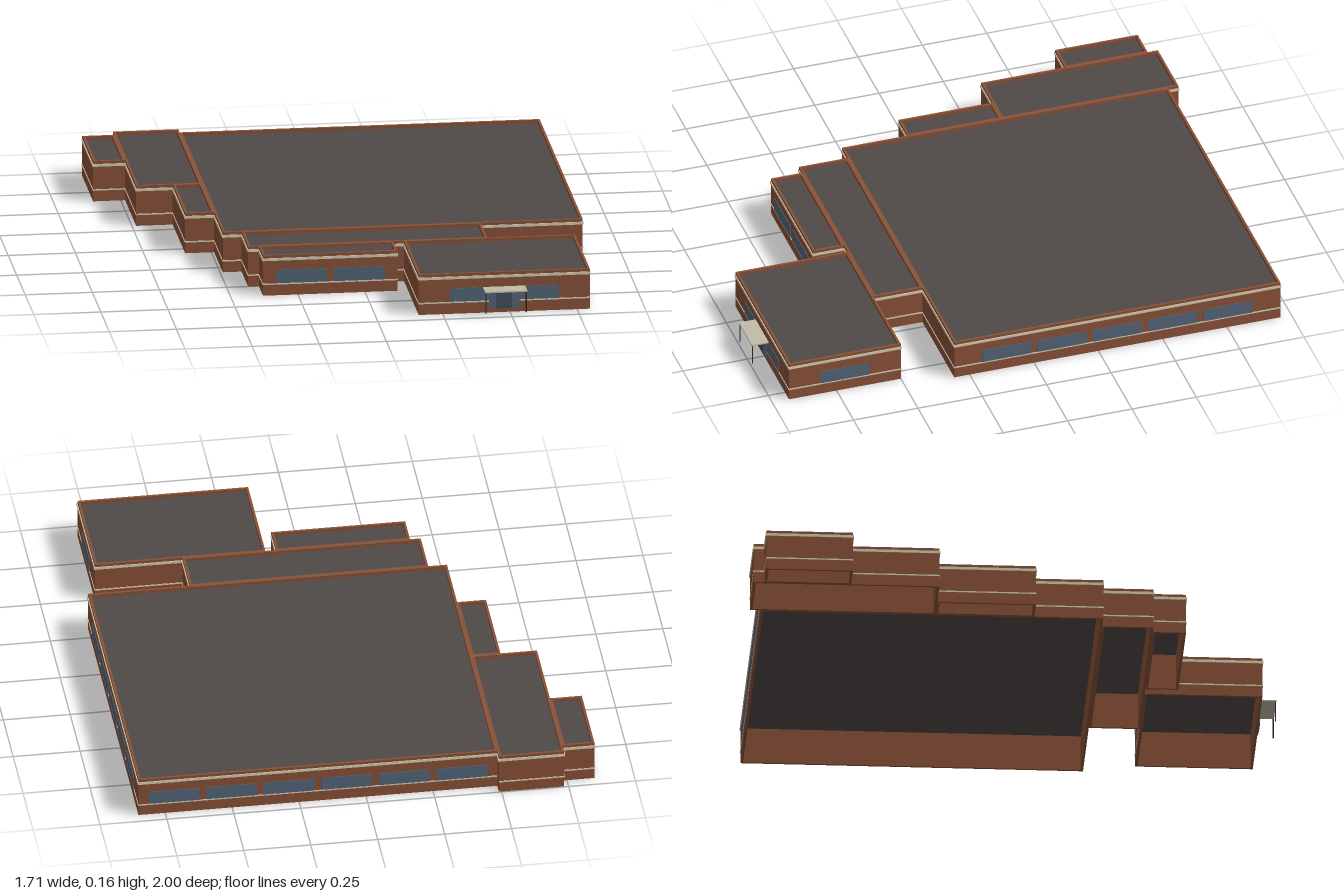
import * as THREE from 'three';

const mat = (name, color, side = THREE.FrontSide) => {
  const m = new THREE.MeshStandardMaterial({ color, side });
  m.name = name;
  return m;
};

export function createModel() {
  const model = new THREE.Group();
  model.name = 'building';
  const brick = mat('brick', 0x8b5238);
  const roofing = mat('roofing', 0x4f4a48);
  const cream = mat('cream trim', 0xd9cfb4);
  const glass = mat('window glass', 0x53667a);
  const doorGlass = mat('door glass', 0x434f5a);
  const canopyPaint = mat('canopy', 0xc2bca9);
  const metal = mat('dark metal', 0x2b2826);

  const HEIGHT = 0.155, THICK = 0.009, ROOF = 0.142;
  const WINDOW = 0.19, PITCH = 0.215;

  function box(parent, name, size, pos, material) {
    const mesh = new THREE.Mesh(new THREE.BoxGeometry(...size), material);
    mesh.name = name;
    mesh.position.set(...pos);
    parent.add(mesh);
    return mesh;
  }

  // Hollow rectangular band, open above and below
  function ring(parent, name, w, d, thick, y0, y1, material) {
    const rect = (P, a, b) => {
      const p = new P();
      p.moveTo(-a, -b); p.lineTo(a, -b); p.lineTo(a, b); p.lineTo(-a, b); p.closePath();
      return p;
    };
    const shape = rect(THREE.Shape, w / 2, d / 2);
    shape.holes.push(rect(THREE.Path, w / 2 - thick, d / 2 - thick));
    const geo = new THREE.ExtrudeGeometry(shape, { depth: y1 - y0, bevelEnabled: false });
    geo.rotateX(-Math.PI / 2).translate(0, y0, 0);
    const mesh = new THREE.Mesh(geo, material);
    mesh.name = name;
    parent.add(mesh);
  }

  // One wall side: turned so that its local +z points outwards
  function facade(parent, side, w, d) {
    const angle = { front: 0, right: Math.PI / 2, back: Math.PI, left: -Math.PI / 2 }[side];
    const along = side === 'front' || side === 'back';
    const g = new THREE.Group();
    g.name = side + 'Facade';
    g.rotation.y = angle;
    parent.add(g);
    return { g, length: along ? w : d, out: (along ? d : w) / 2 };
  }

  function addWing({ name, x: [x0, x1], z: [z0, z1], stripes, windows = [] }) {
    const w = x1 - x0, d = z1 - z0;
    const wing = new THREE.Group();
    wing.name = name;
    wing.position.set((x0 + x1) / 2, 0, (z0 + z1) / 2);
    model.add(wing);

    ring(wing, 'walls', w, d, THICK, 0, HEIGHT, brick);
    ring(wing, 'cornice', w + 0.006, d + 0.006, 0.006, 0.134, 0.144, cream);
    box(wing, 'roof', [w - THICK, 0.004, d - THICK], [0, ROOF - 0.002, 0], roofing);

    for (const side of stripes) {
      const { g, length, out } = facade(wing, side, w, d);
      box(g, 'sillStripe', [length, 0.005, 0.003], [0, 0.044, out + 0.0005], cream);
      if (!windows.includes(side)) continue;
      const n = Math.floor(length / 0.22);
      for (let i = 0; i < n; i++) {
        box(g, 'window', [WINDOW, 0.051, 0.003],
          [(i - (n - 1) / 2) * PITCH, 0.0725, out + 0.001], glass);
      }
    }
  }

  [
    { name: 'mainHall', x: [-0.49, 0.85], z: [-0.957, 0.31],
      stripes: ['front', 'right', 'back', 'left'], windows: ['right', 'back'] },
    { name: 'sideWing', x: [-0.734, -0.49], z: [-0.997, -0.31], stripes: ['front', 'back', 'left'] },
    { name: 'sideAnnex', x: [-0.853, -0.734], z: [-0.957, -0.636], stripes: ['front', 'back', 'left'] },
    { name: 'sidePorch', x: [-0.598, -0.49], z: [-0.31, 0.055], stripes: ['front', 'left'] },
    { name: 'frontCorridor', x: [-0.42, 0.47], z: [0.31, 0.5], stripes: ['front', 'right', 'left'] },
    { name: 'frontAnnex', x: [-0.38, 0.12], z: [0.5, 0.622],
      stripes: ['front', 'right', 'left'], windows: ['front'] },
    { name: 'entranceBlock', x: [0.16, 0.797], z: [0.5, 0.935],
      stripes: ['front', 'right', 'back', 'left'], windows: ['front', 'right'] },
  ].forEach(addWing);

  // Entrance: door panels under a canopy on two posts
  const entrance = new THREE.Group();
  entrance.name = 'entrance';
  entrance.position.set(0.478, 0, 0.935);
  model.add(entrance);
  box(entrance, 'doorSurround', [0.114, 0.064, 0.004], [0, 0.048, 0.003], glass);
  box(entrance, 'door', [0.056, 0.064, 0.003], [0, 0.048, 0.005], doorGlass);
  box(entrance, 'canopy', [0.157, 0.005, 0.065], [0, 0.0965, 0.0325], canopyPaint);
  for (const s of [-1, 1]) {
    box(entrance, 'canopyPost', [0.004, 0.079, 0.004], [s * 0.075, 0.0545, 0.062], metal);
  }
  return model;
}
